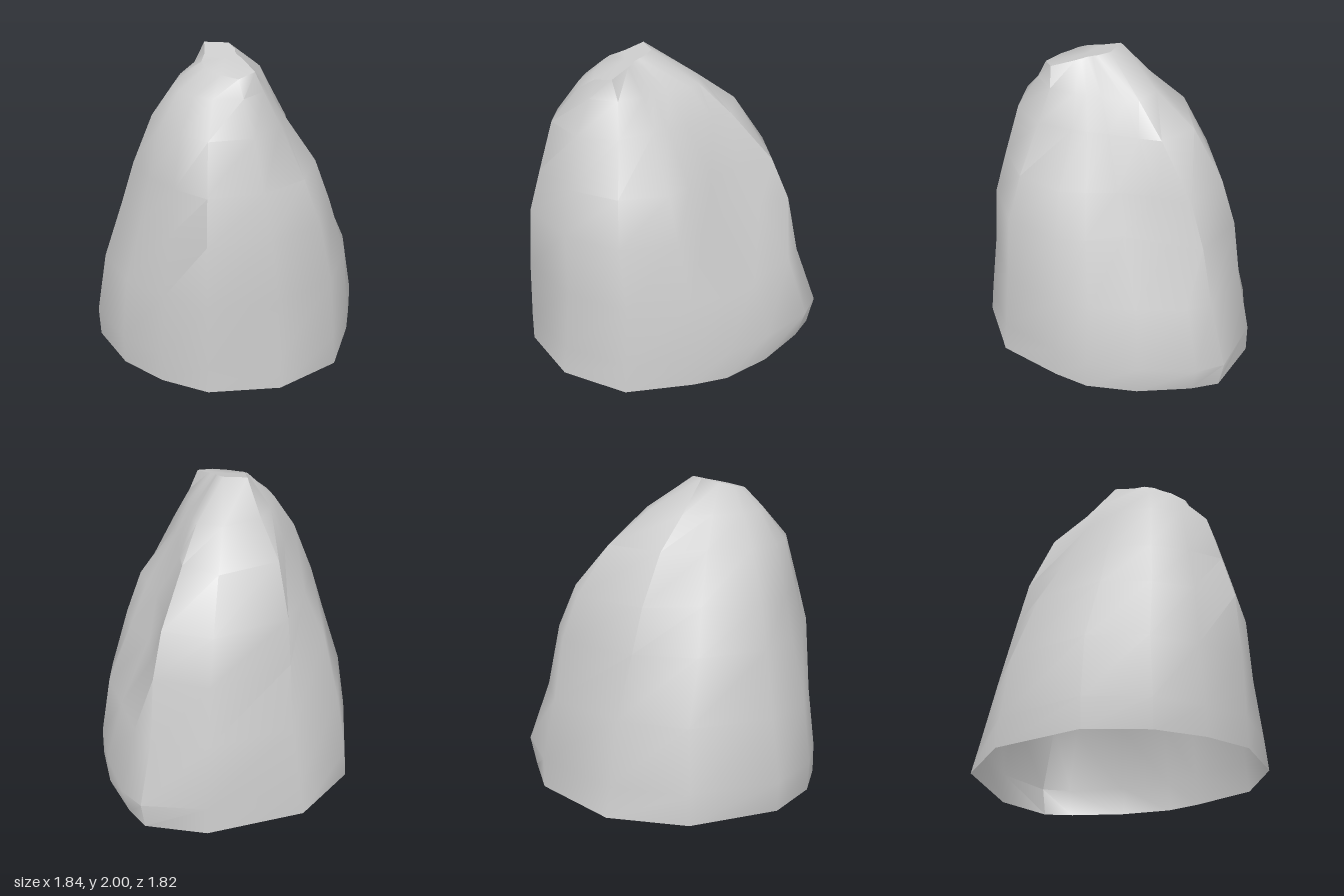
import * as THREE from 'three';
import { toCreasedNormals } from 'three/addons/utils/BufferGeometryUtils.js';

// Footprint corners [x, z], running from the right side round the front, left and back.
const FOOTPRINT = [
  [0.92, -0.3], [0.84, 0.07], [0.71, 0.38], [0.56, 0.56], [0.24, 0.86], [-0.21, 0.91], [-0.62, 0.72],
  [-0.8, 0.46], [-0.92, 0.15], [-0.91, -0.25], [-0.56, -0.73], [-0.07, -0.91], [0.57, -0.76], [0.89, -0.49],
];

// Cross-sections: height, centre, slope along x and z, and how far each corner is drawn in.
const SECTIONS = [
  { y: 0.01, c: [0, 0], s: [0.94, 0.98, 1, 1, 1, 1, 1, 1, 0.99, 0.99, 1, 1, 0.98, 0.96] },
  { y: 0.2, c: [0, 0], s: [1, 0.99, 1, 0.99, 0.98, 0.98, 1, 1, 1, 1, 0.98, 0.95, 0.98, 1] },
  { y: 0.6, c: [0, 0], s: [0.86, 0.85, 0.92, 0.95, 0.94, 0.93, 0.99, 0.95, 0.95, 0.93, 0.91, 0.85, 0.89, 0.86] },
  { y: 1.0, c: [-0.05, 0.05], s: [0.71, 0.62, 0.74, 0.82, 0.84, 0.84, 0.89, 0.82, 0.78, 0.77, 0.78, 0.79, 0.9, 0.85] },
  { y: 1.28, c: [-0.08, 0.07], s: [0.61, 0.57, 0.62, 0.71, 0.71, 0.73, 0.77, 0.72, 0.68, 0.66, 0.61, 0.73, 0.83, 0.77] },
  { y: 1.6, c: [-0.12, 0.1], s: [0.47, 0.41, 0.41, 0.43, 0.51, 0.59, 0.62, 0.59, 0.55, 0.5, 0.43, 0.59, 0.66, 0.55] },
  { y: 1.8, c: [-0.15, 0.13], s: [0.36, 0.31, 0.29, 0.31, 0.37, 0.41, 0.39, 0.39, 0.38, 0.34, 0.32, 0.38, 0.43, 0.39] },
  { y: 2.03, c: [-0.18, 0.2], slope: [0.15, -0.2], s: [0.09, 0.09, 0.11, 0.14, 0.27, 0.27, 0.2, 0.17, 0.17, 0.16, 0.15, 0.25, 0.18, 0.11] },
];

// Hollow shell, open underneath
function boulderGeometry() {
  const n = FOOTPRINT.length;
  const positions = [];
  const index = [];

  // Rings of corners
  for (const { y, c, s, slope = [0, 0] } of SECTIONS) {
    FOOTPRINT.forEach(([fx, fz], i) => {
      const x = c[0] + fx * s[i];
      const z = c[1] + fz * s[i];
      positions.push(x, y + slope[0] * x + slope[1] * z, z);
    });
  }
  const last = (SECTIONS.length - 1) * n;
  const summit = positions.length / 3;
  positions.push(-0.18, 1.963, 0.2);

  for (let i = 0; i < n; i++) {
    const j = (i + 1) % n;
    // Sides
    for (let r = 0; r < last; r += n) {
      index.push(r + i, r + n + i, r + j, r + n + i, r + n + j, r + j);
    }
    // Sloping summit
    index.push(summit, last + j, last + i);
  }

  const geometry = new THREE.BufferGeometry();
  geometry.setAttribute('position', new THREE.Float32BufferAttribute(positions, 3));
  geometry.setIndex(index);
  return toCreasedNormals(geometry, 0.8);
}

export function createModel() {
  const group = new THREE.Group();
  group.name = 'rock';
  const boulder = new THREE.Mesh(
    boulderGeometry(),
    new THREE.MeshStandardMaterial({ color: 0xcccccc, side: THREE.DoubleSide }),
  );
  boulder.name = 'boulder';
  group.add(boulder);
  return group;
}
